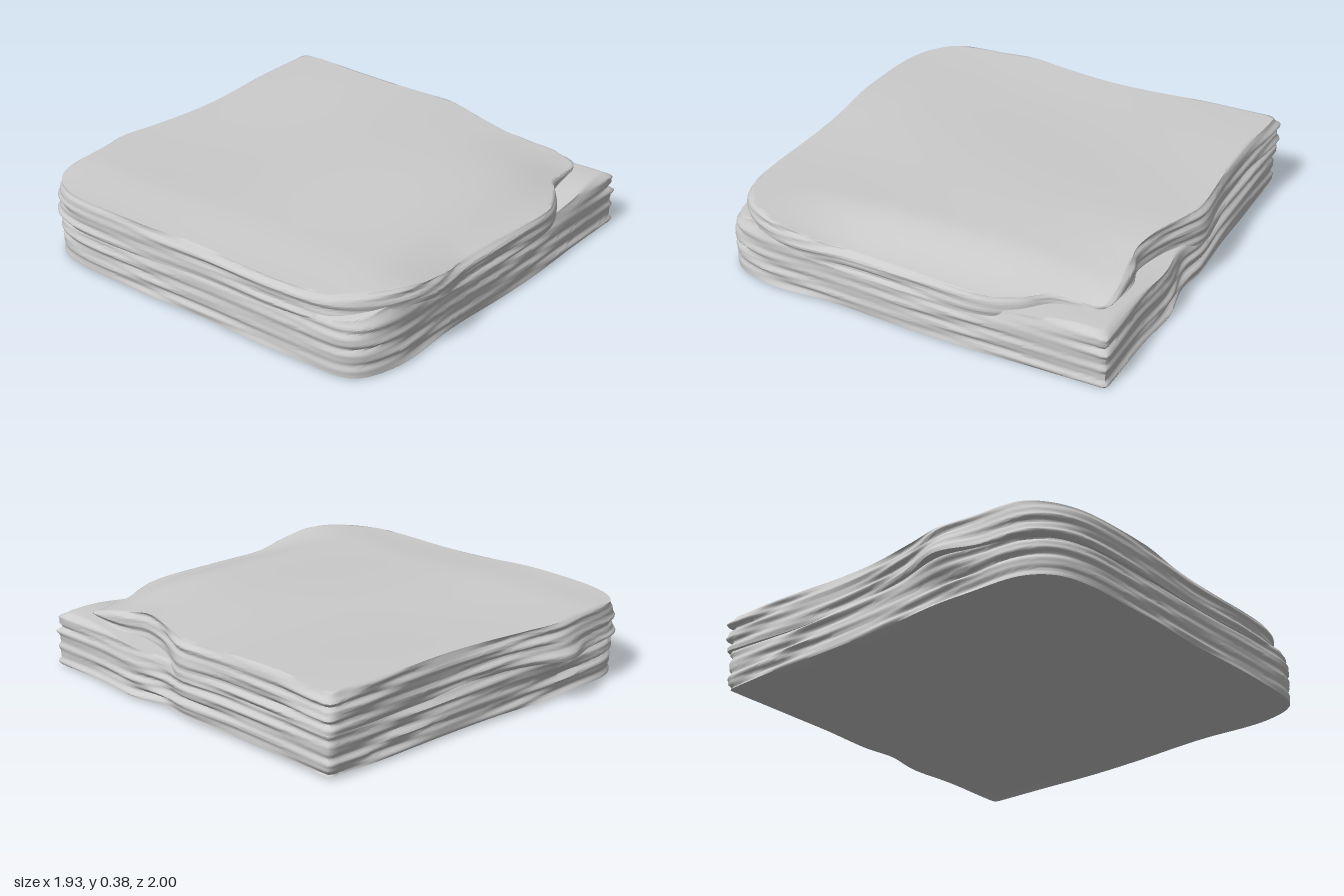
import * as THREE from 'three';
import { toCreasedNormals } from 'three/addons/utils/BufferGeometryUtils.js';

const SIDES = 280, SIDE_ROWS = 28, CAP_ROWS = 22;
const { smoothstep: smooth, lerp } = THREE.MathUtils;
const bump = (d, w) => Math.exp(-(d * d) / (w * w));

// Outlines as x, z pairs: along the front, up the right side, along the back, down the left
const lowerOutline = [
  [-0.94, 0.82], [-0.89, 0.89], [-0.74, 0.945], [-0.4, 0.95], [0, 0.96], [0.5, 0.95], [0.88, 0.945],
  [0.935, 0.94], [0.94, 0.89], [0.935, 0.6], [0.95, 0.35], [0.93, 0.15], [0.95, 0], [0.935, -0.3],
  [0.935, -0.6], [0.94, -0.86], [0.935, -0.91], [0.88, -0.915], [0.5, -0.91], [0.1, -0.91], [-0.25, -0.92],
  [-0.5, -0.92], [-0.78, -0.9], [-0.89, -0.82], [-0.94, -0.68], [-0.95, -0.3], [-0.945, 0.1], [-0.95, 0.55],
];
const upperOutline = [
  [-0.92, 0.74], [-0.83, 0.87], [-0.7, 0.95], [-0.53, 0.985], [-0.3, 0.965], [0, 0.965], [0.38, 0.96],
  [0.52, 0.9], [0.63, 0.82], [0.76, 0.805], [0.85, 0.79], [0.87, 0.68], [0.86, 0.52], [0.83, 0.42],
  [0.86, 0.25], [0.92, 0.1], [0.95, 0], [0.935, -0.3], [0.935, -0.6], [0.95, -0.85], [0.94, -0.92],
  [0.85, -0.925], [0.5, -0.91], [0.12, -0.9], [-0.2, -0.925], [-0.38, -0.955], [-0.55, -0.935],
  [-0.8, -0.905], [-0.89, -0.83], [-0.945, -0.7], [-0.96, -0.3], [-0.945, 0.1], [-0.95, 0.5],
];

// Height of the worn top, falling away along the front and at the chipped corner
function topHeight(x, z) {
  const waves = 0.006 * Math.sin(3.1 * x + 2 * z) + 0.005 * Math.sin(5.2 * z - 2.3 * x + 1);
  const frontDrop = 0.075 * smooth(z, 0.62, 0.99) * smooth(x, -0.85, -0.2);
  const chip = 0.05 * bump(Math.hypot(x - 0.85, z - 0.75), 0.32);
  const cornerDrop = 0.02 * smooth(-x, 0.6, 0.98);
  return 0.373 + waves - frontDrop - chip - cornerDrop;
}

// Height of the parting line between the two layers
function seamHeight(x, z) {
  const front = smooth(z, 0.3, 0.9);
  return 0.205 + 0.008 * Math.sin(4 * x - 3 * z) + front * (0.07 * bump(x + 0.7, 0.25) + 0.03 * bump(x - 0.8, 0.25));
}

// Weathered strata: grooves in height that drift around the block
function strata(x, y, z) {
  const drift = 0.018 * Math.sin(2.6 * x + 1.9 * z) + 0.008 * Math.sin(7 * z - 5 * x);
  const rough = 0.55 + 0.45 * smooth(Math.max(x, -z), 0.7, 0.93);
  const coarse = Math.sin((y + drift) * 2 * Math.PI / 0.07);
  const fine = Math.sin((y - 0.7 * drift) * 2 * Math.PI / 0.037 + 3 * x);
  const fade = 0.65 + 0.35 * Math.sin(6 * x + 4 * z + 20 * y);
  return rough * fade * (0.011 * coarse + 0.006 * fine);
}

// Closed slab made of rings: bottom cap, layered side, top cap
function slabGeometry(outline, bottomAt, topAt, roundTop) {
  const curve = new THREE.CatmullRomCurve3(outline.map(([x, z]) => new THREE.Vector3(x, 0, z)), true, 'centripetal');
  const ring = curve.getSpacedPoints(SIDES).slice(0, SIDES);
  const positions = [], index = [];

  const sidePoint = (p, t) => {
    const y = lerp(bottomAt(p.x, p.z), topAt(p.x, p.z), t);
    let grow = 1 + strata(p.x, y, p.z);
    grow -= roundTop * Math.pow(smooth(t, 0.7, 1), 2);
    // Bulge at the back and on the right side
    if (p.z < -0.8) grow += 0.055 * bump(p.x + 0.38, 0.17) * bump(y - 0.22, 0.06);
    if (p.x > 0.8) grow += 0.015 * bump(p.z, 0.12) * bump(y - 0.24, 0.08);
    return [p.x * grow, y, p.z * grow];
  };
  const capPoint = (p, t, s, heightAt) => {
    const [x, y, z] = sidePoint(p, t);
    const rim = y - heightAt(x, z);
    return [x * s, heightAt(x * s, z * s) + rim * s ** 8, z * s];
  };

  const rows = [];
  for (let k = 0; k < 3; k++) rows.push(p => capPoint(p, 0, [0.001, 0.5, 0.9][k], bottomAt));
  for (let k = 0; k <= SIDE_ROWS; k++) rows.push(p => sidePoint(p, k / SIDE_ROWS));
  for (let k = 1; k <= CAP_ROWS; k++) {
    const s = Math.max(0.001, 1 - (k / CAP_ROWS) ** 1.4);
    rows.push(p => capPoint(p, 1, s, topAt));
  }
  rows.forEach(row => ring.forEach(p => positions.push(...row(p))));

  for (let j = 0; j < rows.length - 1; j++) {
    for (let i = 0; i < SIDES; i++) {
      const n = (i + 1) % SIDES;
      const a = j * SIDES + i, b = j * SIDES + n, c = b + SIDES, d = a + SIDES;
      index.push(a, b, c, a, c, d);
    }
  }
  const geometry = new THREE.BufferGeometry();
  geometry.setAttribute('position', new THREE.Float32BufferAttribute(positions, 3));
  geometry.setIndex(index);
  return toCreasedNormals(geometry, 1.1);
}

export function createModel() {
  const group = new THREE.Group();
  group.name = 'stoneSlab';
  const stone = new THREE.MeshStandardMaterial({ color: 0xcccccc });

  const add = (name, geometry) => {
    const mesh = new THREE.Mesh(geometry, stone);
    mesh.name = name;
    group.add(mesh);
  };

  // Lower block, with a flat underside that dips slightly at the front
  const underside = (x, z) => 0.02 - 0.012 * smooth(z, 0.6, 0.95) * (0.5 + 0.5 * Math.sin(3.5 * x));
  add('lowerBlock', slabGeometry(lowerOutline, underside, (x, z) => seamHeight(x, z) + 0.03, 0.02));

  // Upper layer, with a chipped front corner
  add('upperLayer', slabGeometry(upperOutline, seamHeight, topHeight, 0.015));
  return group;
}
